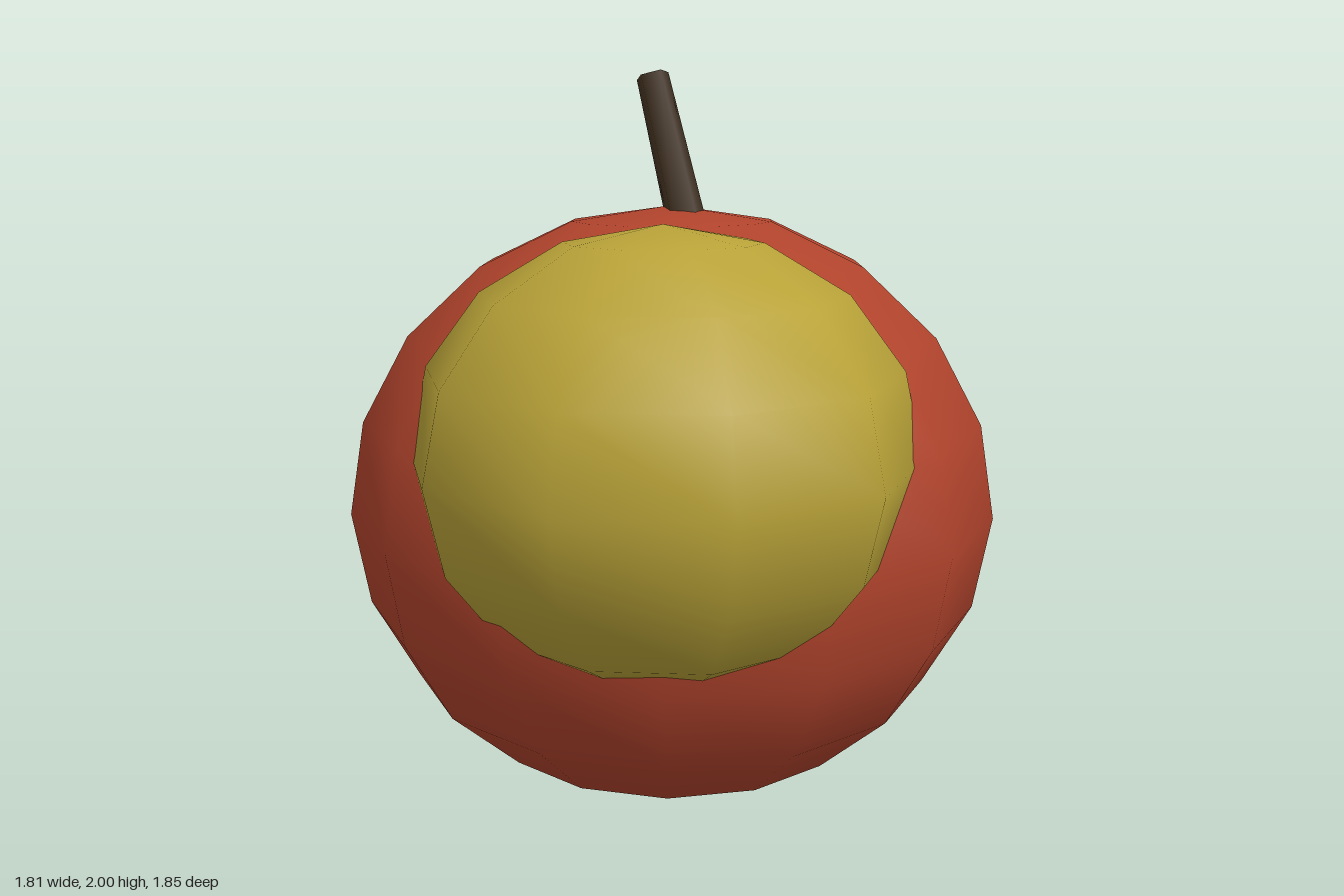
import * as THREE from 'three';

function part(name, geometry, color, x, y, z) {
  const mesh = new THREE.Mesh(geometry, new THREE.MeshStandardMaterial({ color }));
  mesh.name = name;
  mesh.position.set(x, y, z);
  return mesh;
}

export function createModel() {
  const group = new THREE.Group();
  group.name = 'fruit';

  // Main body: slightly flattened low-poly sphere
  const body = part('fruitBody', new THREE.SphereGeometry(0.89, 14, 10), 0xb0432c, -0.015, 0.825, -0.0575);
  body.scale.y = 0.82 / 0.89;

  // Yellow patch: a smaller sphere bulging out of the body
  const patch = part('yellowPatch', new THREE.SphereGeometry(0.635, 10, 8), 0xb8a238, 0.27, 1.06, 0.32);
  patch.scale.y = 0.565 / 0.635;

  // Tapered five-sided stem, leaning right and sunk into the body
  const length = 0.48, tilt = 0.3;
  const stem = part('stem', new THREE.CylinderGeometry(0.046, 0.058, length, 5), 0x423120,
    -0.083 + Math.sin(tilt) * length / 2, 1.988 - Math.cos(tilt) * length / 2, -0.055);
  stem.rotation.z = tilt;

  group.add(body, patch, stem);
  return group;
}
